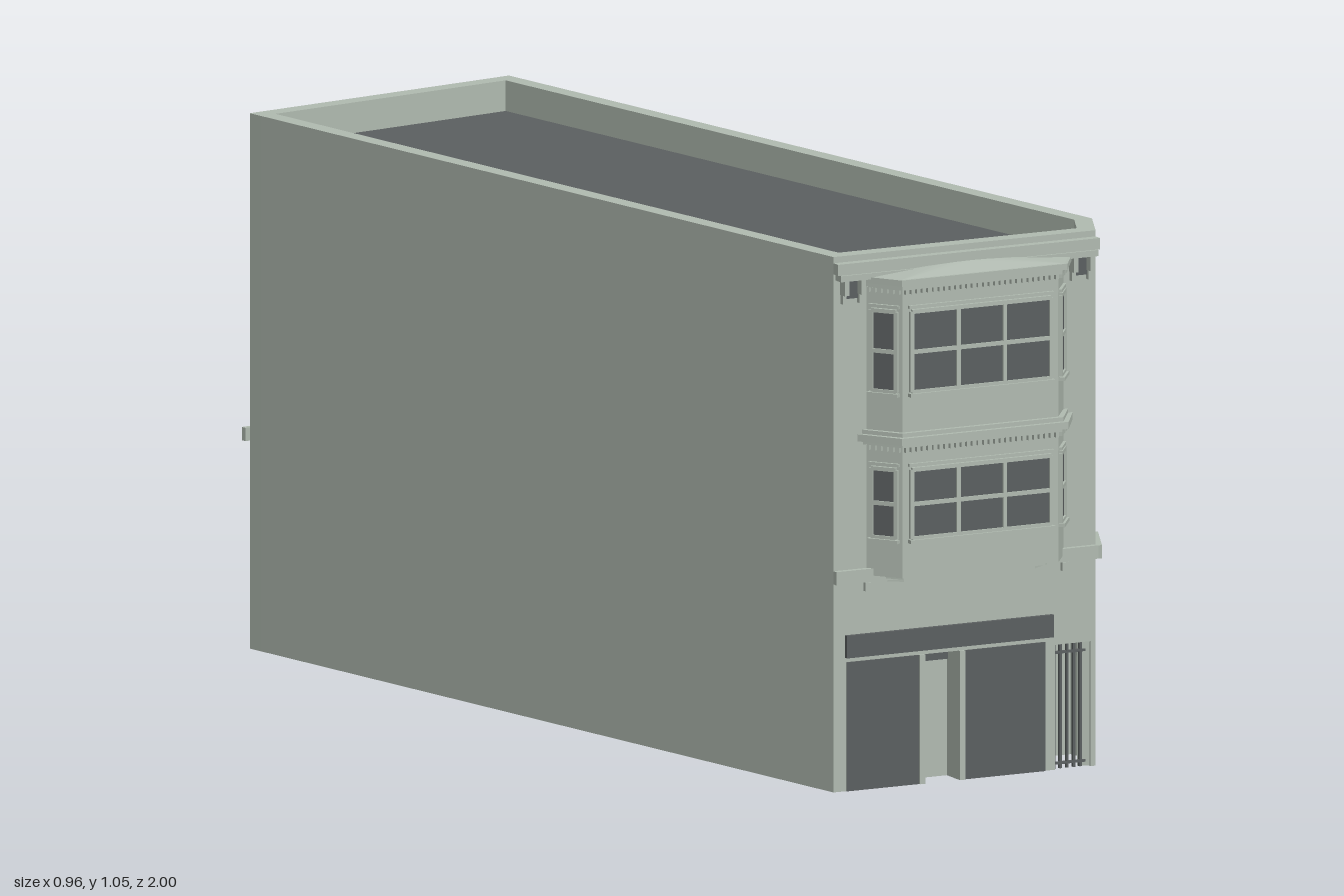
import * as THREE from 'three';
import { ConvexGeometry } from 'three/addons/geometries/ConvexGeometry.js';

const stone = new THREE.MeshStandardMaterial({ color: 0xb0bab0 });
stone.name = 'paleStone';
const dark = new THREE.MeshStandardMaterial({ color: 0x5b5f60 });
dark.name = 'darkGlass';

const HEIGHT = 1.05, THICK = 0.035;
// Footprint corners (x, z), counter-clockwise seen from above
const A = [-0.161, 0.915], B = [0.411, 0.915], C = [0.461, 0.807], D = [0.147, -0.985], E = [-0.471, -0.887];
const BAY_X = 0.126;

function add(parent, name, geo, mat) {
  const m = new THREE.Mesh(geo, mat);
  m.name = name;
  parent.add(m);
  return m;
}

// Box given by its limits
function box(parent, name, x0, x1, y0, y1, z0, z1, mat = stone) {
  const m = add(parent, name, new THREE.BoxGeometry(x1 - x0, y1 - y0, z1 - z0), mat);
  m.position.set((x0 + x1) / 2, (y0 + y1) / 2, (z0 + z1) / 2);
  return m;
}

// Group whose x runs along a wall from P to Q and whose z points outward
function face(parent, name, P, Q) {
  const g = new THREE.Group();
  g.name = name;
  g.position.set(P[0], 0, P[1]);
  g.rotation.y = Math.atan2(P[1] - Q[1], Q[0] - P[0]);
  g.userData.length = Math.hypot(Q[0] - P[0], Q[1] - P[1]);
  parent.add(g);
  return g;
}

// Wall slab with doorways [x0, x1, top] cut from its foot
function wall(g, doors = []) {
  const L = g.userData.length, s = new THREE.Shape();
  s.moveTo(0, 0);
  for (const [a, b, top] of doors) {
    s.lineTo(a, 0);
    s.lineTo(a, top);
    s.lineTo(b, top);
    s.lineTo(b, 0);
  }
  s.lineTo(L, 0);
  s.lineTo(L, HEIGHT);
  s.lineTo(0, HEIGHT);
  const geo = new THREE.ExtrudeGeometry(s, { depth: THICK, bevelEnabled: false });
  add(g, 'wall', geo.translate(0, 0, -THICK), stone);
}

// Horizontal slab from a plan outline of (x, z) points
function slab(parent, name, pts, y0, y1, mat = stone) {
  const s = new THREE.Shape(pts.map(([x, z]) => new THREE.Vector2(x, -z)));
  const geo = new THREE.ExtrudeGeometry(s, { depth: y1 - y0, bevelEnabled: false });
  return add(parent, name, geo.rotateX(-Math.PI / 2).translate(0, y0, 0), mat);
}

// Pane with raised frame, glazing bars and sill
function glazing(g, x0, x1, y0, y1, cols, rows, bar = 0.008, sill = 0.012) {
  box(g, 'pane', x0, x1, y0, y1, 0, 0.003, dark);
  for (let i = 0; i <= cols; i++) {
    const x = x0 + (x1 - x0) * i / cols;
    box(g, 'glazingBar', x - bar / 2, x + bar / 2, y0, y1, 0, 0.007);
  }
  for (let j = 0; j <= rows; j++) {
    const y = y0 + (y1 - y0) * j / rows;
    box(g, 'glazingRail', x0, x1, y - bar / 2, y + bar / 2, 0, 0.007);
  }
  box(g, 'sill', x0 - 0.006, x1 + 0.006, y0 - 0.009, y0 - 0.002, 0, sill);
}

// Lining behind a doorway
function recess(g, x0, x1, top, depth) {
  const t = 0.006;
  box(g, 'recessBack', x0 - t, x1 + t, 0, top + t, -depth - t, -depth);
  box(g, 'recessLeft', x0 - t, x0, 0, top + t, -depth, -THICK + 0.002);
  box(g, 'recessRight', x1, x1 + t, 0, top + t, -depth, -THICK + 0.002);
  box(g, 'recessTop', x0, x1, top, top + t, -depth, -THICK + 0.002);
}

// Plan of the canted bay, grown outward by o
const bayPlan = (o) => [
  [BAY_X - 0.215 - o, 0.905], [BAY_X - 0.215 - o, 0.915], [BAY_X - 0.17 - o * 0.6, 0.978 + o],
  [BAY_X + 0.17 + o * 0.6, 0.978 + o], [BAY_X + 0.215 + o, 0.915], [BAY_X + 0.215 + o, 0.905],
];

function buildBay(root) {
  const bay = new THREE.Group();
  bay.name = 'bayWindow';
  root.add(bay);
  slab(bay, 'bayBody', bayPlan(0), 0.42, 0.99);
  slab(bay, 'bayFoot', bayPlan(-0.025), 0.412, 0.42);
  slab(bay, 'bayFootLower', bayPlan(-0.045), 0.403, 0.412);
  slab(bay, 'middleCorniceLower', bayPlan(0.008), 0.677, 0.684);
  slab(bay, 'middleCornice', bayPlan(0.02), 0.684, 0.698);
  slab(bay, 'middleCorniceTop', bayPlan(0.01), 0.698, 0.706);
  slab(bay, 'topCorniceLower', bayPlan(0.008), 0.986, 0.996);
  slab(bay, 'topCornice', bayPlan(0.018), 0.996, 1.008);

  // Gently arched hipped cap
  const cap = [];
  for (const [x, z] of bayPlan(0.012)) cap.push(new THREE.Vector3(x, 1.008, z));
  for (let i = 0; i <= 8; i++) {
    const t = i / 4 - 1;
    cap.push(new THREE.Vector3(BAY_X + t * 0.14, 1.022 - 0.008 * t * t, 0.94));
  }
  add(bay, 'bayCap', new ConvexGeometry(cap), stone);

  // Windows and dentils on the three sides of each storey
  const p = bayPlan(0);
  for (let i = 1; i <= 3; i++) {
    const g = face(bay, ['leftCant', 'bayFront', 'rightCant'][i - 1], p[i], p[i + 1]);
    const L = g.userData.length, front = i === 2;
    const inset = front ? 0.018 : 0.012;
    for (const [y0, y1, dentilY] of [[0.497, 0.632, 0.667], [0.784, 0.942, 0.977]]) {
      glazing(g, inset, L - inset, y0, y1, front ? 3 : 1, 2);
      box(g, 'windowHead', inset - 0.006, L - inset + 0.006, y1 + 0.006, y1 + 0.012, 0, 0.006);
      const n = front ? 28 : 6;
      for (let k = 0; k < n; k++) {
        const x = (k + 0.5) * L / n;
        box(g, 'dentil', x - 0.003, x + 0.003, dentilY, dentilY + 0.01, 0, 0.008);
      }
    }
  }
}

function buildShopfront(g) {
  const X = (x) => x - A[0];
  // Shop windows, sign board and door posts
  for (const [a, b] of [[-0.133, 0.024], [0.125, 0.3]]) {
    box(g, 'shopWindow', X(a), X(b), 0, 0.253, 0, 0.003, dark);
  }
  box(g, 'signBoard', X(-0.136), X(0.316), 0.262, 0.306, 0, 0.009, dark);
  for (const x of [0.031, 0.118]) box(g, 'doorPost', X(x - 0.006), X(x + 0.006), 0, 0.253, -0.02, 0.006);
  // Recessed shop door
  recess(g, X(0.037), X(0.113), 0.253, 0.05);
  box(g, 'transomPane', X(0.039), X(0.111), 0.23, 0.252, -0.05, -0.042, dark);
  box(g, 'pullHandle', X(0.043), X(0.047), 0.085, 0.2, -0.05, -0.035, dark);
  // Barred gate
  for (let i = 0; i < 6; i++) {
    const x = X(0.325 + i * 0.0145);
    box(g, 'gateBar', x - 0.0025, x + 0.0025, 0, 0.243, -0.014, -0.008, dark);
  }
  for (const y of [0.008, 0.225]) box(g, 'gateRail', X(0.322), X(0.4), y, y + 0.005, -0.014, -0.008, dark);
  // Parapet cornice with end brackets and panels
  box(g, 'corniceShelf', 0.004, X(0.405), 1.004, 1.016, 0, 0.024);
  box(g, 'parapetBand', 0, X(0.411), 1.016, 1.038, 0, 0.019);
  for (const s of [-1, 1]) {
    const at = (d) => X(BAY_X + s * d);
    for (const d of [0.268, 0.232]) {
      box(g, 'cornerBracket', at(d) - 0.005, at(d) + 0.005, 0.975, 1.004, 0, 0.02);
      box(g, 'bracketDrop', at(d) - 0.004, at(d) + 0.004, 0.957, 0.975, 0, 0.011);
    }
    box(g, 'friezePanel', at(0.25) - 0.014, at(0.25) + 0.014, 0.966, 1.002, 0, 0.004, dark);
    box(g, 'bayBracket', at(0.215) - 0.007, at(0.215) + 0.007, 0.39, 0.407, 0, 0.01);
  }
}

export function createModel() {
  const root = new THREE.Group();
  root.name = 'cornerShopBuilding';

  const front = face(root, 'frontWall', A, B);
  const corner = face(root, 'cornerWall', B, C);
  const back = face(root, 'backWall', D, E);
  wall(front, [[0.198, 0.274, 0.253], [0.483, 0.561, 0.245]]);
  wall(corner, [[0.014, 0.11, 0.21]]);
  wall(face(root, 'longWallLeft', C, D));
  wall(face(root, 'longWallRight', E, A));

  // Back wall with door and four windows
  const L = back.userData.length;
  wall(back, [[L * 0.44, L * 0.58, 0.22]]);
  recess(back, L * 0.44, L * 0.58, 0.22, 0.06);
  for (const t of [0.32, 0.68]) {
    for (const y of [0.51, 0.79]) glazing(back, L * t - 0.034, L * t + 0.034, y, y + 0.14, 2, 2, 0.006, 0.016);
  }

  // String course on the street and back walls
  for (const g of [front, corner, back]) {
    const end = g === front ? 0 : 0.01;
    box(g, 'stringCourse', -end, g.userData.length + end, 0.408, 0.434, 0, 0.012);
  }

  buildShopfront(front);
  buildBay(root);

  // Corner porch lining
  box(root, 'porchBack', 0.305, 0.45, 0, 0.252, 0.785, 0.791);
  box(root, 'porchSide', 0.305, 0.311, 0, 0.252, 0.791, 0.882);
  slab(root, 'porchCeiling', [[0.305, 0.785], [0.305, 0.885], [0.41, 0.885], [0.445, 0.8]], 0.246, 0.252);

  // Flat roof sunk behind the parapet
  slab(root, 'roof', [[-0.14, 0.89], [0.395, 0.89], [0.438, 0.798], [0.13, -0.962], [-0.448, -0.87]], 0.98, 0.99, dark);
  return root;
}
